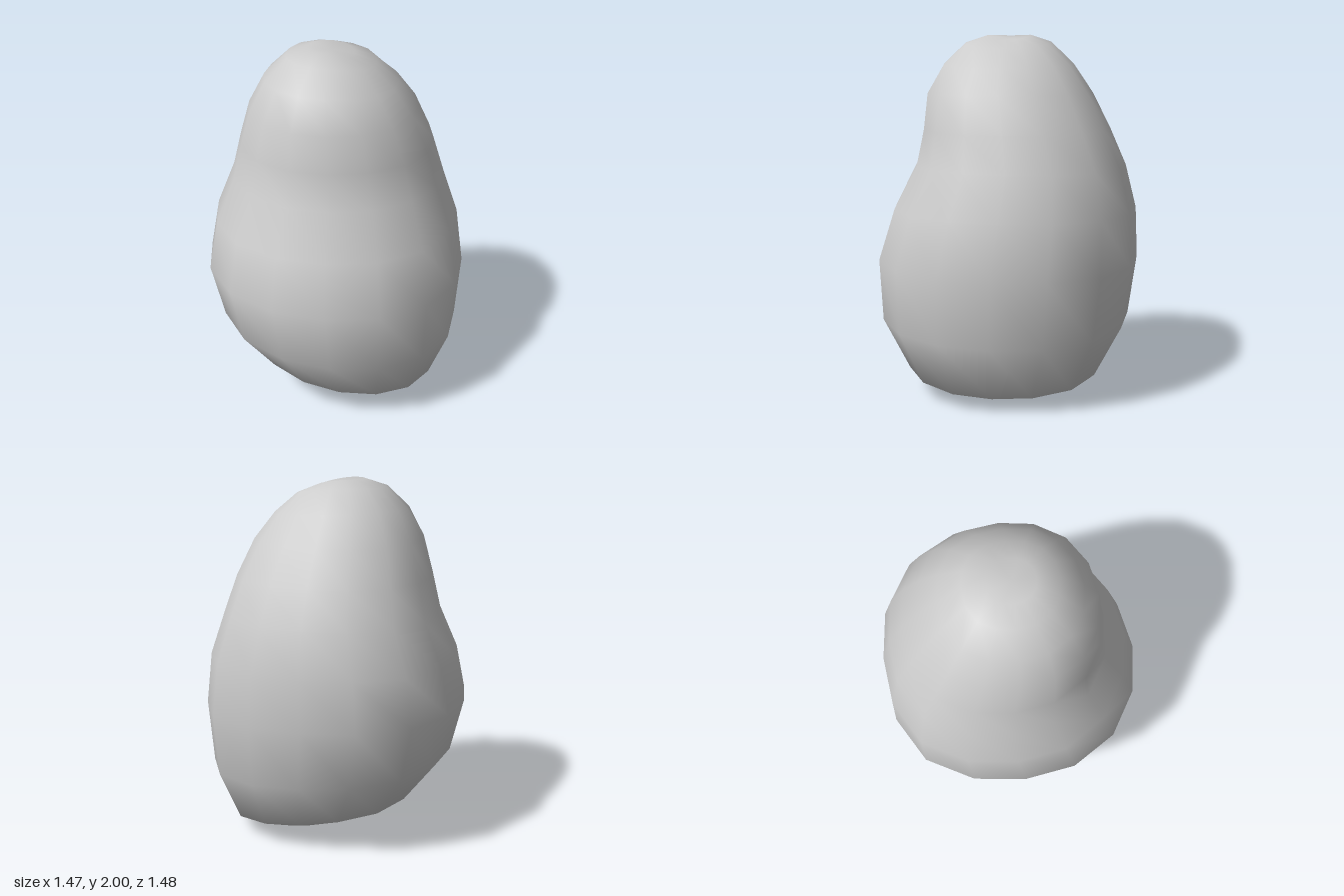
import * as THREE from 'three';
import { mergeVertices } from 'three/addons/utils/BufferGeometryUtils.js';

// Rings from top to bottom: [x centre, z centre, x radius, z radius, y, tilt toward +x, saddle, dent]
const RINGS = [
  [-0.025, 0, 0, 0, 1.985, 0, 0, 0],
  [-0.025, 0, 0.125, 0.125, 1.985, -0.014, 0.013, 0],
  [-0.025, 0, 0.245, 0.245, 1.942, -0.018, 0.017, 0],
  [-0.025, 0, 0.365, 0.37, 1.835, -0.012, 0.005, 0],
  [-0.015, -0.01, 0.465, 0.47, 1.68, 0, 0, 0],
  [0, -0.042, 0.54, 0.54, 1.48, 0, 0, 0.035],
  [0.005, -0.067, 0.597, 0.603, 1.28, 0, 0, 0.025],
  [0, -0.04, 0.69, 0.69, 1.04, 0, 0, 0],
  [0, 0, 0.735, 0.742, 0.76, -0.02, 0, 0],
  [0.025, 0.012, 0.685, 0.708, 0.43, -0.05, 0, 0],
  [0.065, 0.01, 0.535, 0.555, 0.16, -0.08, 0, 0],
  [0.085, 0, 0.285, 0.32, 0.055, -0.055, 0, 0],
  [0.09, 0, 0, 0, 0.04, 0, 0, 0],
];
const SIDES = 16;

export function createModel() {
  const group = new THREE.Group();
  group.name = 'pearShapedStone';

  // Lumpy body: a sphere whose rings are shifted, scaled and tilted
  const sphere = new THREE.SphereGeometry(1, SIDES, RINGS.length - 1);
  const pos = sphere.attributes.position;
  for (let i = 0; i < pos.count; i++) {
    const [cx, cz, rx, rz, y, tilt, saddle, dent] = RINGS[Math.floor(i / (SIDES + 1))];
    const a = ((i % (SIDES + 1)) % SIDES) / SIDES * Math.PI * 2;
    const c = -Math.cos(a), s = Math.sin(a);
    // Rings are slightly squarish, more so at the back
    const bulge = (0.045 - 0.025 * s) * Math.sin(2 * a) ** 2;
    // Shallow waist on the front, slightly toward +x
    const off = Math.atan2(s, c) - 1.2;
    const k = 1 + bulge - dent * Math.exp(-off * off * 3);
    pos.setXYZ(i, cx + rx * c * k, y + tilt * c + saddle * s * s, cz + rz * s * k);
  }

  // Weld the seam and poles so the shading is smooth all round
  sphere.deleteAttribute('uv');
  sphere.deleteAttribute('normal');
  const geometry = mergeVertices(sphere, 1e-4);
  geometry.computeVertexNormals();

  const body = new THREE.Mesh(geometry, new THREE.MeshStandardMaterial({ color: 0xcccccc }));
  body.name = 'body';
  group.add(body);
  return group;
}
